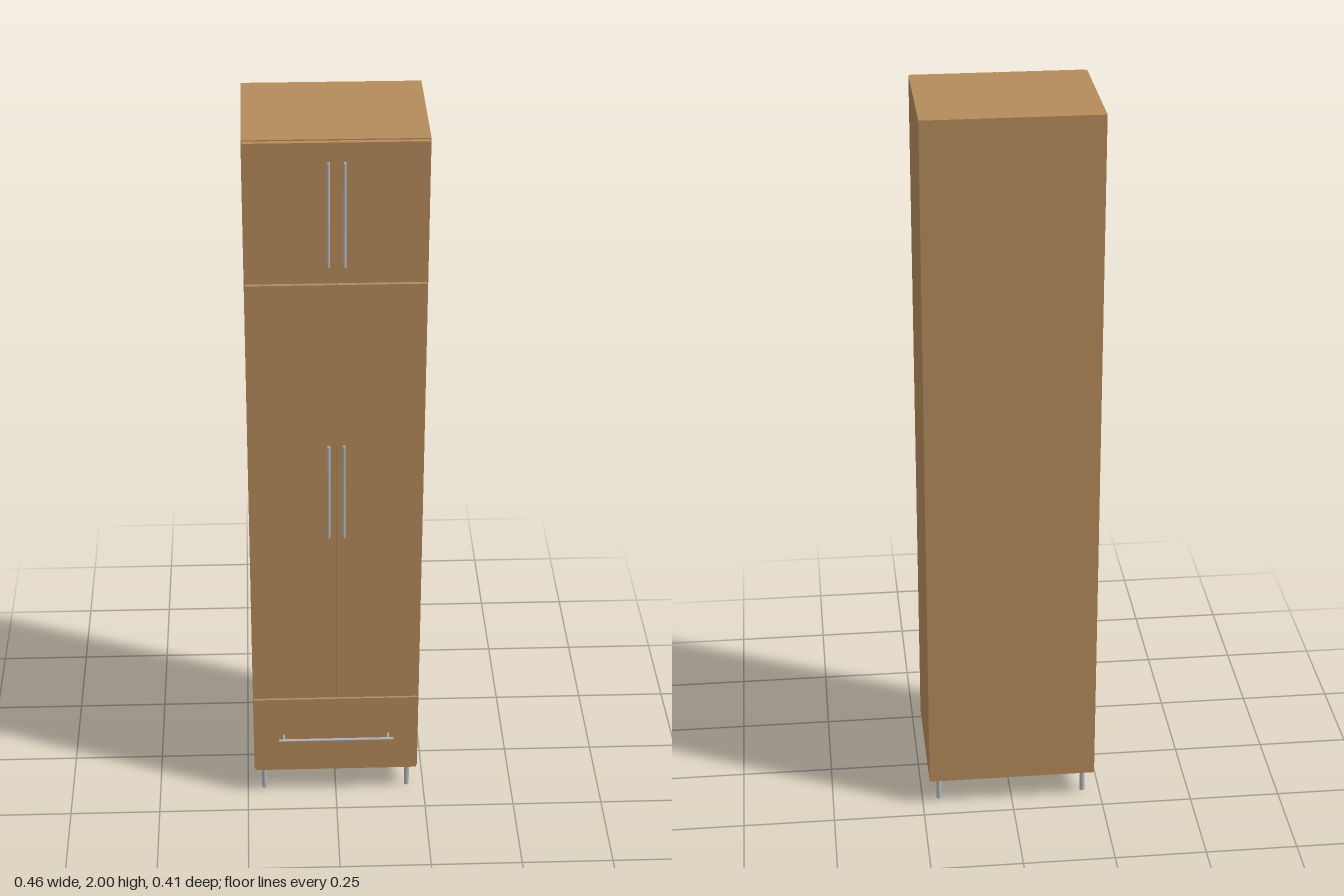
import * as THREE from 'three';

export function createModel() {
  const root = new THREE.Group();
  root.name = 'tallCabinet';
  const wood = new THREE.MeshStandardMaterial({ color: 0xb48a5a });
  wood.name = 'wood';
  const steel = new THREE.MeshStandardMaterial({ color: 0xb4b5ba });
  steel.name = 'brushedSteel';

  // Box given by its limits on each axis
  function panel(name, x0, x1, y0, y1, z0, z1) {
    const mesh = new THREE.Mesh(new THREE.BoxGeometry(x1 - x0, y1 - y0, z1 - z0), wood);
    mesh.position.set((x0 + x1) / 2, (y0 + y1) / 2, (z0 + z1) / 2);
    mesh.name = name;
    root.add(mesh);
  }

  // Round steel rod centred on a point
  function rod(name, radius, length, axis, x, y, z, parent) {
    const geo = new THREE.CylinderGeometry(radius, radius, length, 16);
    if (axis === 'x') geo.rotateZ(Math.PI / 2);
    if (axis === 'z') geo.rotateX(Math.PI / 2);
    const mesh = new THREE.Mesh(geo, steel);
    mesh.position.set(x, y, z);
    mesh.name = name;
    parent.add(mesh);
  }

  // Bar handle on two posts; it runs along x or y
  function handle(name, axis, x, y, length, postOffset) {
    const group = new THREE.Group();
    group.name = name;
    group.position.set(x, y, 0);
    rod('handleBar', 0.004, length, axis, 0, 0, 0.2015, group);
    for (const s of [-1, 1]) {
      const d = s * postOffset;
      rod('handlePost', 0.0028, 0.024, 'z', axis === 'x' ? d : 0, axis === 'y' ? d : 0, 0.188, group);
    }
    root.add(group);
  }

  // Carcass and back panel
  panel('carcass', -0.231, 0.231, 0.08, 2, -0.203, 0.163);
  panel('backPanel', -0.231, 0.231, 0.08, 2, -0.207, -0.203);

  // Paired doors with their handles, mirrored about the middle
  const doorRows = [
    { name: 'upperDoor', y0: 1.619, y1: 1.997, handleY: 1.815 },
    { name: 'mainDoor', y0: 0.334, y1: 1.614, handleY: 1.02 },
  ];
  for (const { name, y0, y1, handleY } of doorRows) {
    panel(name + 'Left', 0.0008, 0.228, y0, y1, 0.163, 0.177);
    panel(name + 'Right', -0.228, -0.0008, y0, y1, 0.163, 0.177);
    for (const s of [1, -1]) {
      handle(name + 'Handle' + (s > 0 ? 'Left' : 'Right'), 'y', s * 0.02, handleY, 0.28, 0.122);
    }
  }

  // Drawer
  panel('drawerFront', -0.228, 0.228, 0.083, 0.329, 0.163, 0.177);
  handle('drawerHandle', 'x', 0, 0.205, 0.322, 0.146);

  // Legs
  for (const x of [-0.203, 0.203]) {
    for (const z of [-0.169, 0.146]) rod('leg', 0.007, 0.08, 'y', x, 0.04, z, root);
  }
  return root;
}
